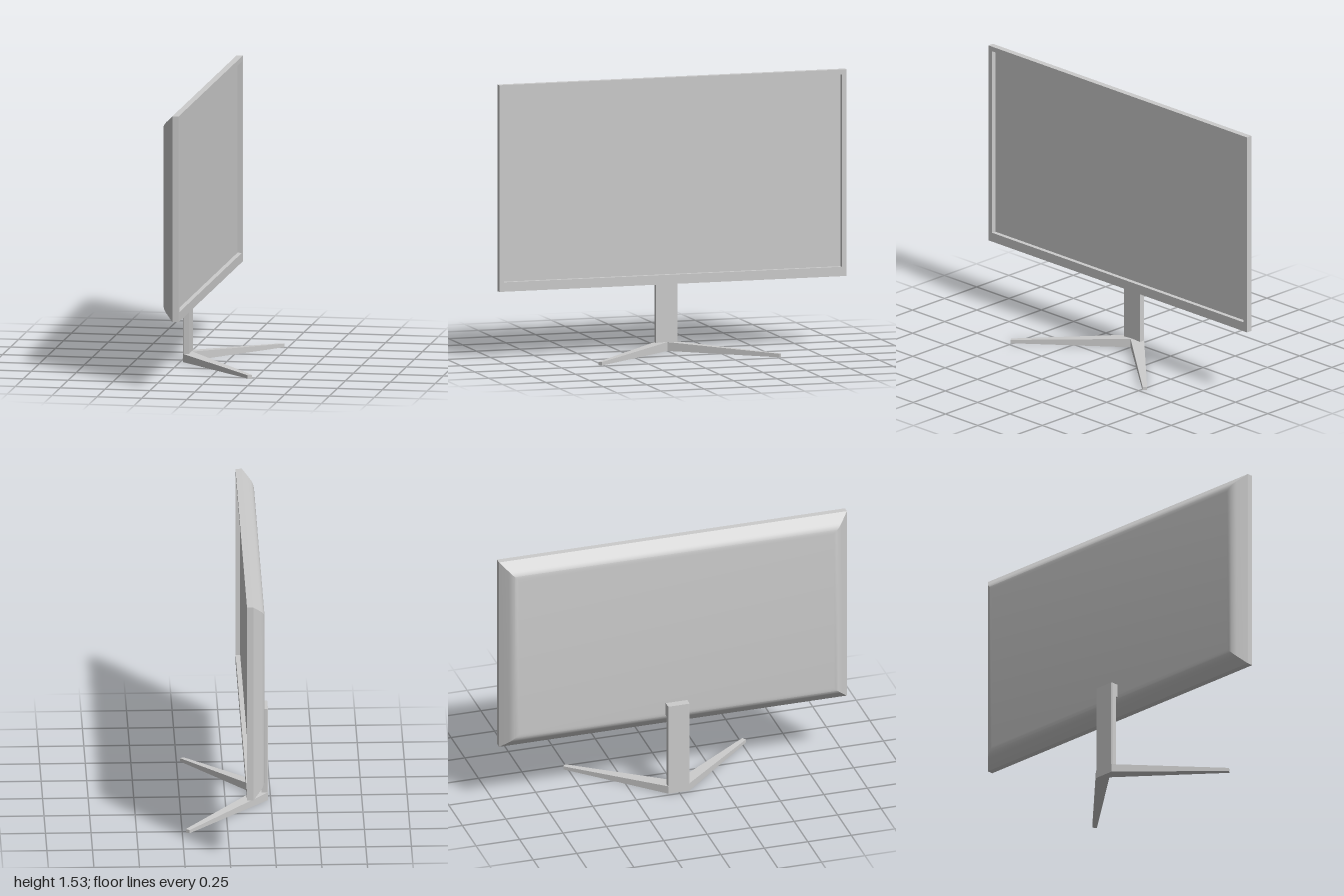
import * as THREE from 'three';
import { toCreasedNormals } from 'three/addons/utils/BufferGeometryUtils.js';

const material = new THREE.MeshStandardMaterial({ color: 0xcccccc });

function addMesh(group, name, geometry) {
  const mesh = new THREE.Mesh(geometry, material);
  mesh.name = name;
  group.add(mesh);
  return mesh;
}

// Closed loft through rectangles [x, yBottom, yTop, halfWidthZ], running from back to front.
function loftRectangles(rings) {
  const positions = [];
  const index = [];
  for (const [x, y0, y1, w] of rings) {
    positions.push(x, y0, -w, x, y1, -w, x, y1, w, x, y0, w);
  }
  for (let r = 0; r < rings.length - 1; r++) {
    for (let i = 0; i < 4; i++) {
      const a = r * 4 + i;
      const b = r * 4 + ((i + 1) % 4);
      index.push(a, b, b + 4, a, b + 4, a + 4);
    }
  }
  const last = (rings.length - 1) * 4;
  index.push(0, 2, 1, 0, 3, 2, last, last + 1, last + 2, last, last + 2, last + 3);
  const geometry = new THREE.BufferGeometry();
  geometry.setAttribute('position', new THREE.Float32BufferAttribute(positions, 3));
  geometry.setIndex(index);
  return toCreasedNormals(geometry, 0.4);
}

// Upright prism from a plan outline of [x, z] points.
function planPrism(points, height) {
  const shape = new THREE.Shape(points.map(([x, z]) => new THREE.Vector2(x, -z)));
  const geometry = new THREE.ExtrudeGeometry(shape, { depth: height, bevelEnabled: false });
  return geometry.rotateX(-Math.PI / 2);
}

export function createModel() {
  const group = new THREE.Group();
  group.name = 'monitor';

  // Display housing: rounded back edge, sloped border, straight rim and recessed screen
  const bottom = 0.385, top = 1.53;
  const inset = (x, d) => [x, bottom + d, top - d, 1 - d];
  const backCurve = new THREE.QuadraticBezierCurve(
    new THREE.Vector2(-0.19, 0.095), new THREE.Vector2(-0.19, 0.065), new THREE.Vector2(-0.168, 0.043));
  const rings = backCurve.getPoints(5).map((p) => inset(p.x, p.y));
  rings.push(inset(-0.125, 0), inset(-0.09, 0));
  rings.push([-0.09, 0.437, 1.503, 0.972], [-0.115, 0.437, 1.503, 0.972]);
  addMesh(group, 'displayPanel', loftRectangles(rings));

  // Upright column with slightly chamfered back corners
  const column = [
    [-0.235, -0.056], [-0.23, -0.062], [-0.2, -0.062],
    [-0.2, 0.062], [-0.23, 0.062], [-0.235, 0.056],
  ];
  addMesh(group, 'standColumn', planPrism(column, 0.54).toNonIndexed());

  // Mount joining the column to the panel
  const mount = addMesh(group, 'panelMount', new THREE.BoxGeometry(0.012, 0.075, 0.124));
  mount.position.set(-0.195, 0.5025, 0);

  // V-shaped foot whose top slopes down towards both tips
  const half = [[-0.235, 0.06], [0.21, 0.525], [0.23, 0.51]];
  const mirrored = half.map(([x, z]) => [x, -z]).reverse();
  const foot = planPrism([...half, [-0.19, 0], ...mirrored], 1);
  const p = foot.attributes.position;
  for (let i = 0; i < p.count; i++) {
    const height = 0.049 - 0.03 * Math.abs(p.getZ(i)) / 0.52;
    p.setY(i, p.getY(i) * height);
  }
  foot.computeVertexNormals();
  addMesh(group, 'standFoot', foot);

  return group;
}
